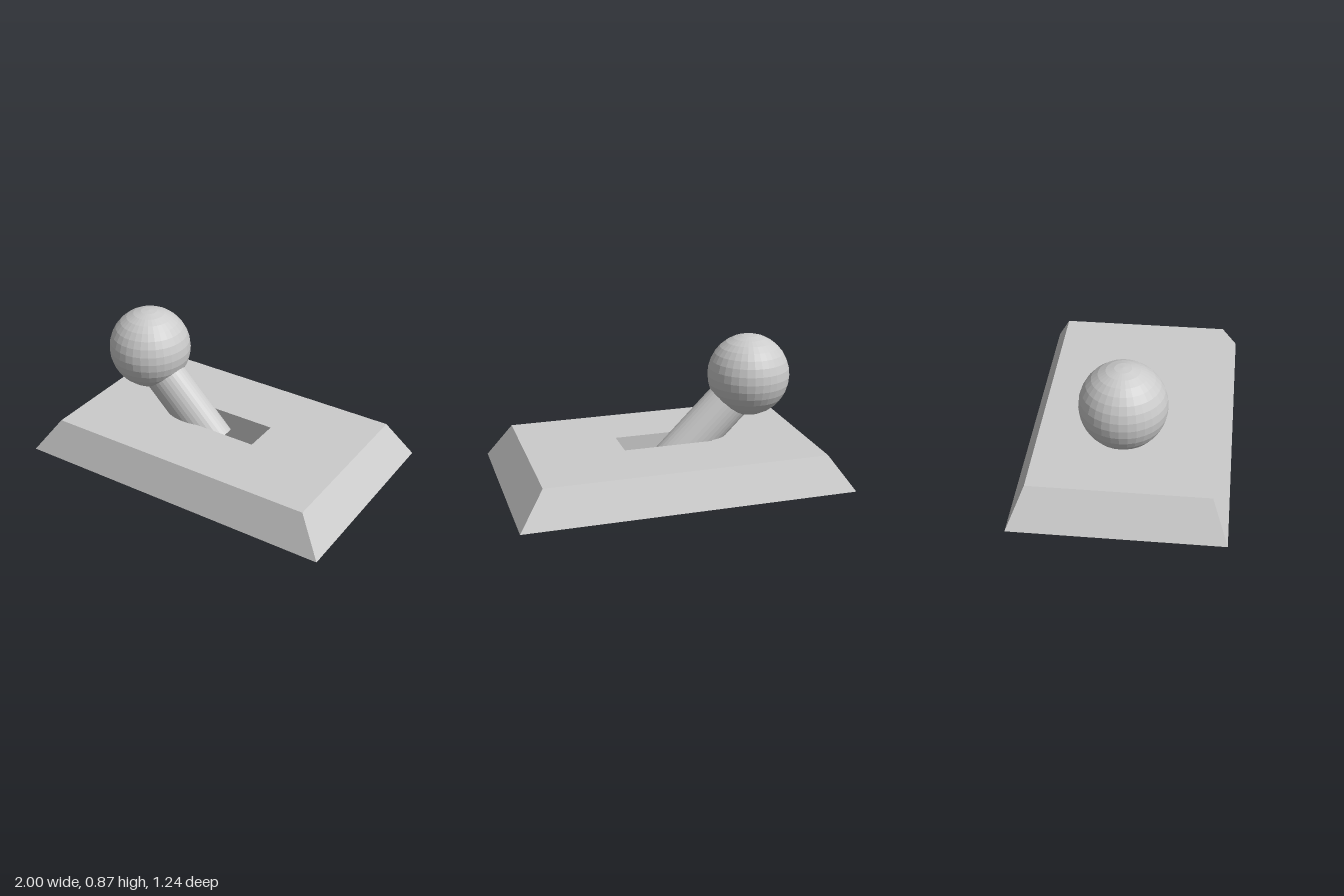
import * as THREE from 'three';

const material = new THREE.MeshStandardMaterial({ color: 0xcccccc, flatShading: true });

// Four corners of a horizontal rectangle, counter-clockwise from above
function rectLoop(halfX, halfZ, y, cz = 0) {
  return [[-1, 1], [1, 1], [1, -1], [-1, -1]].map(([sx, sz]) => [sx * halfX, y, cz + sz * halfZ]);
}

// Joins successive loops with bands of quads and caps both ends
function loft(loops) {
  const points = [];
  const quad = (a, b, c, d) => points.push(...a, ...b, ...c, ...a, ...c, ...d);
  for (let k = 0; k < loops.length - 1; k++) {
    for (let i = 0; i < 4; i++) {
      const j = (i + 1) % 4;
      quad(loops[k][i], loops[k][j], loops[k + 1][j], loops[k + 1][i]);
    }
  }
  quad(...[...loops[0]].reverse());
  quad(...loops[loops.length - 1]);
  const geometry = new THREE.BufferGeometry();
  geometry.setAttribute('position', new THREE.Float32BufferAttribute(points, 3));
  geometry.computeVertexNormals();
  return geometry;
}

export function createModel() {
  const group = new THREE.Group();
  group.name = 'leverSwitch';
  const add = (name, geometry) => {
    const mesh = new THREE.Mesh(geometry, material);
    mesh.name = name;
    group.add(mesh);
    return mesh;
  };

  // Bevelled base plate with a recessed slot
  add('basePlate', loft([
    rectLoop(1, 0.62, 0.035),
    rectLoop(0.85, 0.525, 0.248),
    rectLoop(0.275, 0.11, 0.248, 0.005),
    rectLoop(0.275, 0.11, 0.05, 0.005),
  ]));

  // Slightly oval lever shaft, leaning 45 degrees; its lower rim pokes out below
  const length = 0.62;
  const shaft = new THREE.CylinderGeometry(1, 1, length, 32);
  shaft.scale(0.1355, 1, 0.115);
  shaft.translate(0, length / 2, 0);
  shaft.rotateZ(Math.PI / 4);
  add('leverShaft', shaft).position.set(-0.058, 0.096, 0.014);

  // Ball knob
  add('knob', new THREE.SphereGeometry(0.251, 32, 16)).position.set(-0.54, 0.62, 0);

  return group;
}
